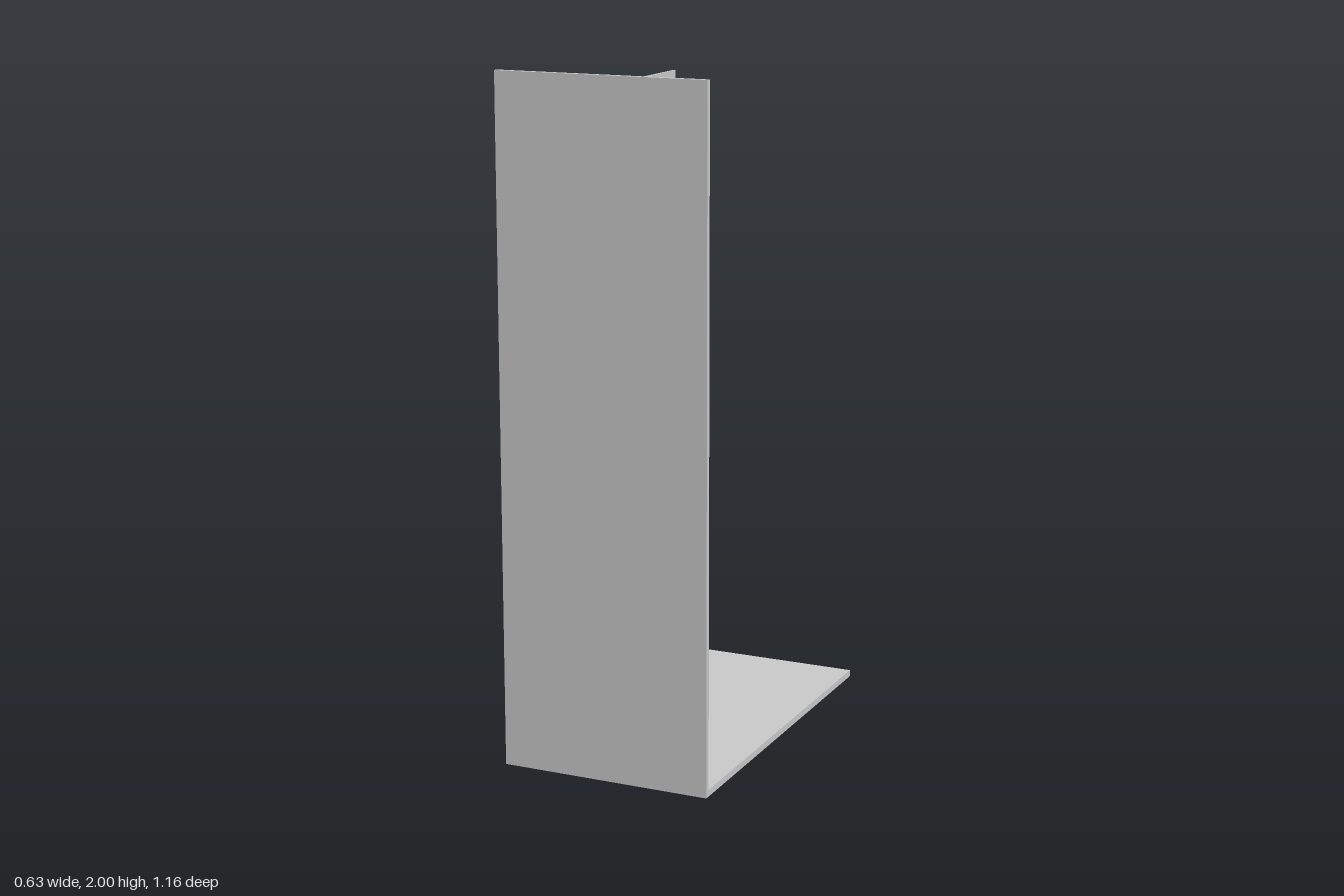
import * as THREE from 'three';

export function createModel() {
  const model = new THREE.Group();
  const material = new THREE.MeshStandardMaterial({ color: 0xcccccc });

  // Box panel given by its lower and upper corners
  function panel(name, [x0, y0, z0], [x1, y1, z1]) {
    const mesh = new THREE.Mesh(new THREE.BoxGeometry(x1 - x0, y1 - y0, z1 - z0), material);
    mesh.position.set((x0 + x1) / 2, (y0 + y1) / 2, (z0 + z1) / 2);
    mesh.name = name;
    model.add(mesh);
  }

  const halfW = 0.317, halfD = 0.578;
  const sideX = -halfW + 0.009;   // inner face of the side panel
  const frontZ = halfD - 0.016;   // inner face of the front panel
  const floorTop = 0.02, floorBack = -0.544;

  // Tall front board, shorter side board, floor and the cleat joining them
  panel('frontPanel', [-halfW, 0, frontZ], [halfW, 2, halfD]);
  panel('sidePanel', [-halfW, 0, -halfD], [sideX, 1.895, frontZ]);
  panel('floorPanel', [sideX, 0, floorBack], [halfW, floorTop, frontZ]);
  panel('cleat', [sideX, floorTop, floorBack], [sideX + 0.009, 0.103, frontZ]);

  return model;
}
